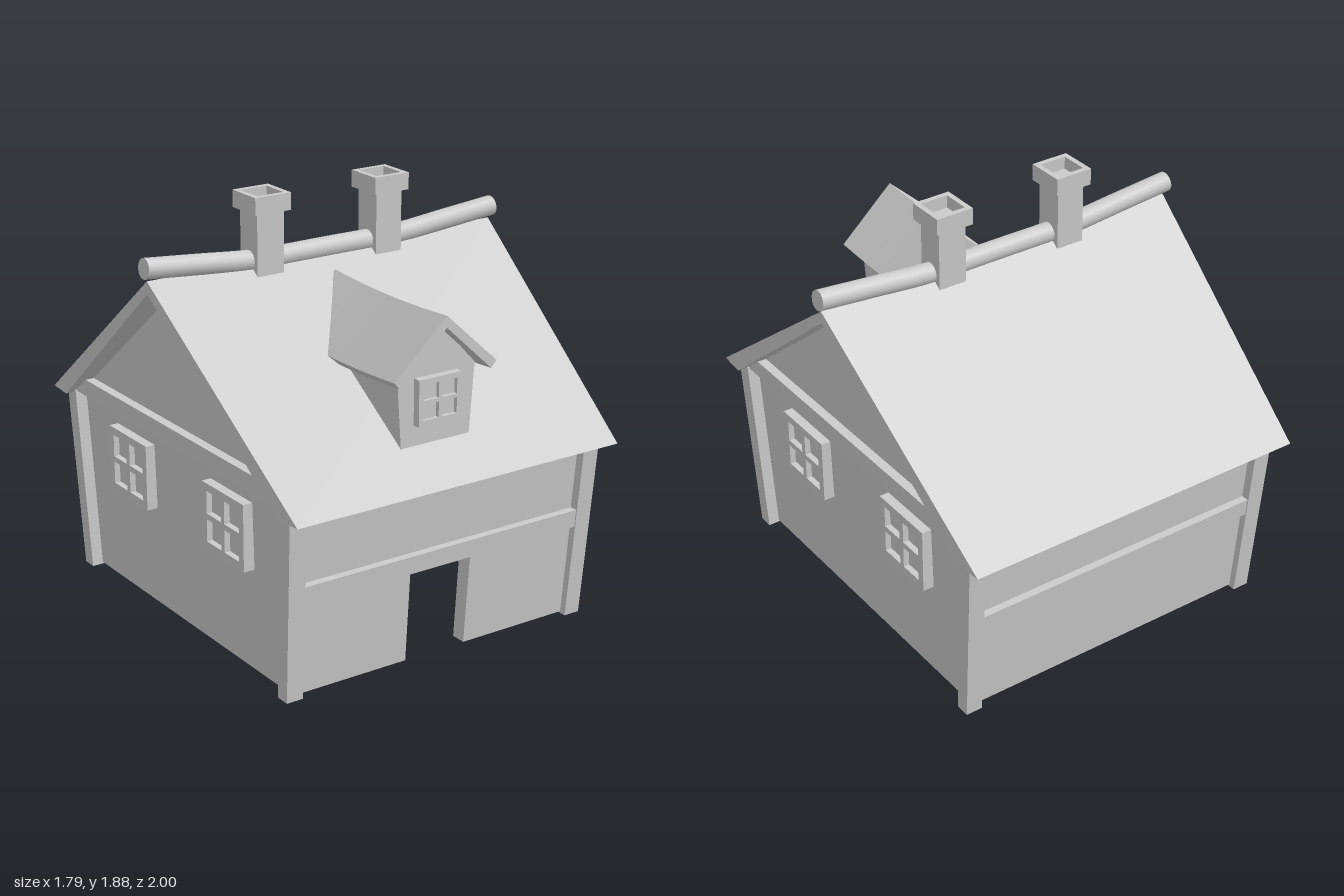
import * as THREE from 'three';

const material = new THREE.MeshStandardMaterial({ color: 0xcccccc, flatShading: true });
const smooth = new THREE.MeshStandardMaterial({ color: 0xcccccc });

function add(parent, name, geometry, mat = material) {
  const mesh = new THREE.Mesh(geometry, mat);
  mesh.name = name;
  parent.add(mesh);
  return mesh;
}

// Move every vertex by a rule
function warp(geometry, rule) {
  const p = geometry.attributes.position;
  const v = new THREE.Vector3();
  for (let i = 0; i < p.count; i++) {
    rule(v.fromBufferAttribute(p, i));
    p.setXYZ(i, v.x, v.y, v.z);
  }
  geometry.computeVertexNormals();
  return geometry;
}

function box(x0, x1, y0, y1, z0, z1) {
  return new THREE.BoxGeometry(x1 - x0, y1 - y0, z1 - z0)
    .translate((x0 + x1) / 2, (y0 + y1) / 2, (z0 + z1) / 2);
}

// Box that flares outwards with height, as all the walls do
const leaning = (...size) => warp(box(...size), v => {
  v.x *= 1 + 0.035 * v.y;
  v.z *= 1 + 0.09 * v.y;
});

function shapeOf(points) {
  return new THREE.Shape(points.map(([x, y]) => new THREE.Vector2(x, y)));
}

function rectangle(x0, x1, y0, y1) {
  return shapeOf([[x0, y0], [x1, y0], [x1, y1], [x0, y1]]);
}

function extrude(shape, depth, steps = 1) {
  return new THREE.ExtrudeGeometry(shape, { depth, steps, bevelEnabled: false });
}

// Profile in z and y, extruded along x and centred
const extrudeAlongX = (points, width) =>
  extrude(shapeOf(points), width).translate(0, 0, -width / 2).rotateY(Math.PI / 2);

// Four-pane window facing +z, its back at z = 0
function makeWindow(name, w, h, depth, border, bar) {
  const group = new THREE.Group();
  group.name = name;
  const frame = rectangle(-w / 2, w / 2, -h / 2, h / 2);
  for (const sx of [-1, 1]) for (const sy of [-1, 1]) {
    const xs = [sx * bar / 2, sx * (w / 2 - border)].sort((a, b) => a - b);
    const ys = [sy * bar / 2, sy * (h / 2 - border)].sort((a, b) => a - b);
    frame.holes.push(rectangle(...xs, ...ys));
  }
  add(group, 'windowFrame', extrude(frame, depth));
  add(group, 'windowPane', box(-w / 2 + 0.01, w / 2 - 0.01, -h / 2 + 0.01, h / 2 - 0.01, 0, depth * 0.55));
  return group;
}

function makeChimney(x) {
  const group = new THREE.Group();
  group.name = 'chimney';
  add(group, 'chimneyShaft', box(-0.066, 0.066, 1.45, 1.825, -0.066, 0.066));
  const cap = rectangle(-0.088, 0.088, -0.088, 0.088);
  cap.holes.push(rectangle(-0.064, 0.064, -0.064, 0.064));
  add(group, 'chimneyCap', extrude(cap, 0.075).rotateX(-Math.PI / 2).translate(0, 1.807, 0));
  group.position.x = x;
  return group;
}

function makeDormer() {
  const group = new THREE.Group();
  group.name = 'dormer';
  const walls = shapeOf([[-0.172, 0.955], [0.172, 0.955], [0.195, 1.27], [0, 1.48], [-0.195, 1.27]]);
  add(group, 'dormerWalls', extrude(walls, 0.72).translate(0, 0, 0.1));
  // Roof with a gently sagging ridge
  const roof = shapeOf([[0, 1.502], [-0.256, 1.268], [-0.23, 1.238], [0, 1.452], [0.23, 1.238], [0.256, 1.268]]);
  add(group, 'dormerRoof', warp(extrude(roof, 0.785, 8).translate(0, 0, 0.1), v => {
    v.y += 0.015 * ((v.z - 0.49) / 0.39) ** 2;
  }));
  const pane = makeWindow('dormerWindow', 0.215, 0.2, 0.04, 0.024, 0.016);
  pane.position.set(-0.003, 1.157, 0.815);
  group.add(pane);
  group.position.x = -0.02;
  return group;
}

export function createModel() {
  const house = new THREE.Group();
  house.name = 'house';

  // Corner posts
  for (const x of [-1, 1]) for (const z of [-1, 1]) {
    const xs = [0.69 * x, 0.767 * x].sort((a, b) => a - b);
    const zs = [0.78 * z, 0.847 * z].sort((a, b) => a - b);
    add(house, 'cornerPost', leaning(xs[0], xs[1], 0, 0.85, zs[0], zs[1]));
  }

  // Front wall around the open doorway, and the back wall
  add(house, 'frontWallRight', leaning(-0.7, -0.153, 0.008, 0.44, 0.745, 0.815));
  add(house, 'frontWallLeft', leaning(0.153, 0.7, 0.008, 0.44, 0.745, 0.815));
  add(house, 'frontWallUpper', leaning(-0.7, 0.7, 0.43, 0.865, 0.745, 0.808));
  add(house, 'backWallLower', leaning(-0.7, 0.7, 0.008, 0.44, -0.815, -0.745));
  add(house, 'backWallUpper', leaning(-0.7, 0.7, 0.43, 0.865, -0.808, -0.745));
  add(house, 'frontBeam', leaning(-0.7, 0.7, 0.43, 0.51, 0.79, 0.842));
  add(house, 'backBeam', leaning(-0.7, 0.7, 0.43, 0.51, -0.842, -0.79));

  // Side walls, each with a gable beam and two windows
  for (const s of [-1, 1]) {
    const xs = [0.645 * s, 0.715 * s].sort((a, b) => a - b);
    add(house, 'sideWall', leaning(xs[0], xs[1], 0.008, 0.865, -0.8, 0.8));
    const beam = [[-0.87, 0.843], [0.87, 0.843], [0.79, 0.92], [-0.79, 0.92]];
    add(house, 'gableBeam', extrudeAlongX(beam, 0.07)).position.x = 0.745 * s;
    for (const z of [-0.393, 0.391]) {
      const pane = makeWindow('sideWindow', 0.32, 0.297, 0.06, 0.035, 0.026);
      pane.position.set(0.718 * s, 0.619, z);
      pane.rotation.y = s * Math.PI / 2;
      house.add(pane);
    }
  }

  // Attic: its ends are the gables, its underside is the ceiling
  add(house, 'attic', extrudeAlongX([[-0.85, 0.86], [0.85, 0.86], [0, 1.55]], 1.475));

  // Main roof, wider at the ridge than at the eaves
  const roof = [[0, 1.585], [-1, 0.83], [-0.87, 0.83], [0, 1.53], [0.87, 0.83], [1, 0.83]];
  add(house, 'roof', warp(extrudeAlongX(roof, 2), v => {
    v.x *= 0.88 - 0.067 * Math.abs(v.z);
  }));

  // Ridge log, flat in the middle and rising to both ends
  const path = new THREE.CatmullRomCurve3(
    [[-0.893, 1.64], [-0.62, 1.615], [-0.37, 1.592], [0, 1.59], [0.37, 1.592], [0.62, 1.615], [0.893, 1.64]]
      .map(([x, y]) => new THREE.Vector3(x, y, 0)));
  add(house, 'ridgeLog', new THREE.TubeGeometry(path, 24, 0.045, 16), smooth);
  for (const s of [-1, 1]) {
    const end = add(house, 'ridgeLogEnd', new THREE.CircleGeometry(0.045, 16));
    end.position.set(0.893 * s, 1.64, 0);
    end.rotation.set(0, s * Math.PI / 2, s * 0.09, 'ZYX');
  }

  for (const x of [-0.322, 0.283]) house.add(makeChimney(x));
  house.add(makeDormer());
  return house;
}
